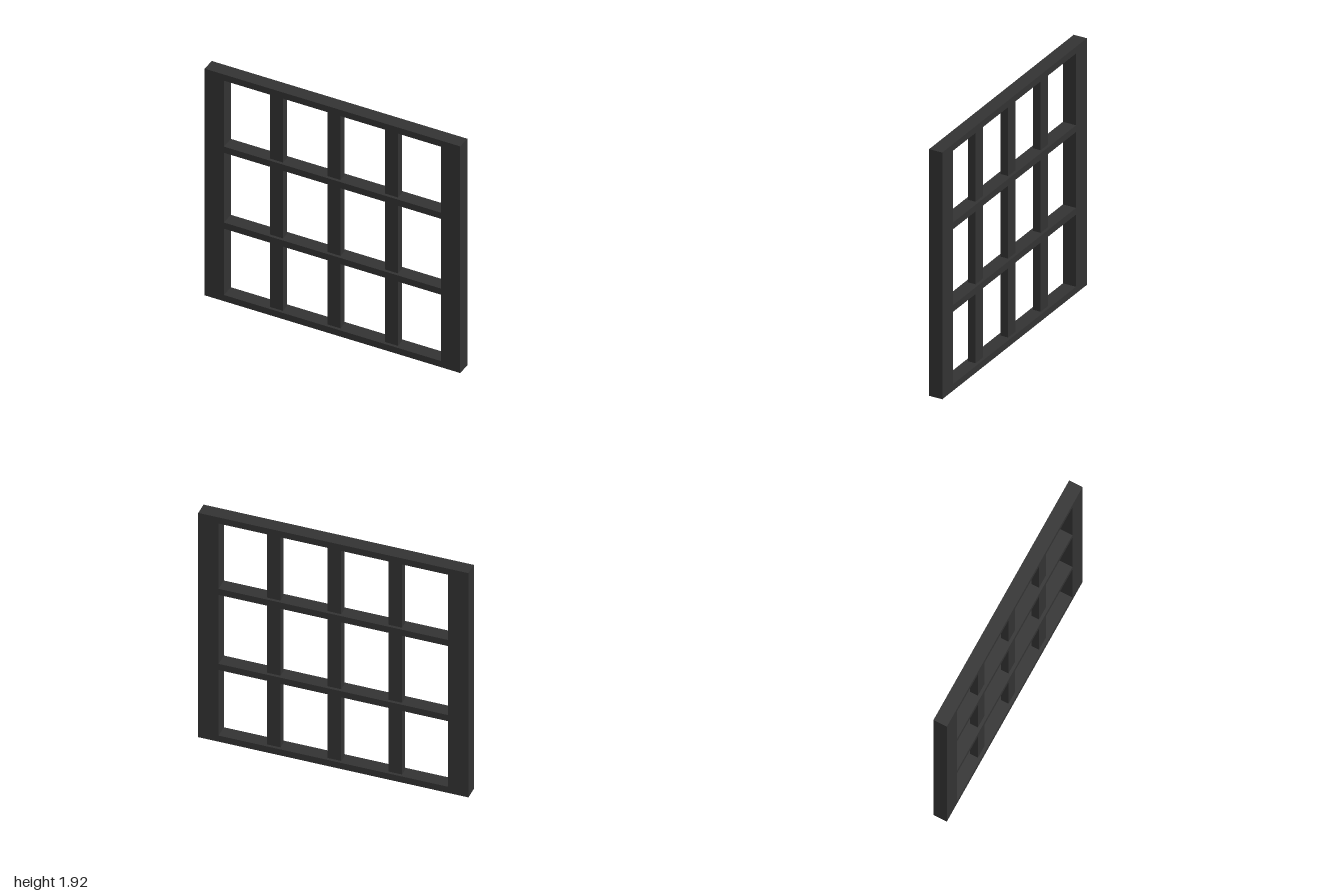
import * as THREE from 'three';

const W = 2, H = 1.92, D = 0.105;
const STILE = 0.15, RAIL = 0.052;

export function createModel() {
  const group = new THREE.Group();
  const material = new THREE.MeshStandardMaterial({ color: 0x333333 });

  const addBar = (name, w, h, d, x, y) => {
    const bar = new THREE.Mesh(new THREE.BoxGeometry(w, h, d), material);
    bar.name = name;
    bar.position.set(x, y, 0);
    group.add(bar);
  };

  // Wide side stiles, full height
  addBar('leftStile', STILE, H, D, W / 2 - STILE / 2, H / 2);
  addBar('rightStile', STILE, H, D, -W / 2 + STILE / 2, H / 2);

  // Four full-depth rails between the stiles: bottom, two middle, top
  const span = W - 2 * STILE;
  const railY = [RAIL / 2, 0.64, 1.283, H - RAIL / 2];
  const railNames = ['bottomRail', 'lowerCrossbar', 'upperCrossbar', 'topRail'];
  railY.forEach((y, i) => addBar(railNames[i], span, RAIL, D, 0, y));

  // Thinner upright bars, set back from both faces, between each pair of rails
  for (const x of [-0.45, 0, 0.45]) {
    for (let i = 0; i < 3; i++) {
      const y0 = railY[i] + RAIL / 2, y1 = railY[i + 1] - RAIL / 2;
      addBar('uprightBar', 0.1, y1 - y0, 0.06, x, (y0 + y1) / 2);
    }
  }
  return group;
}
